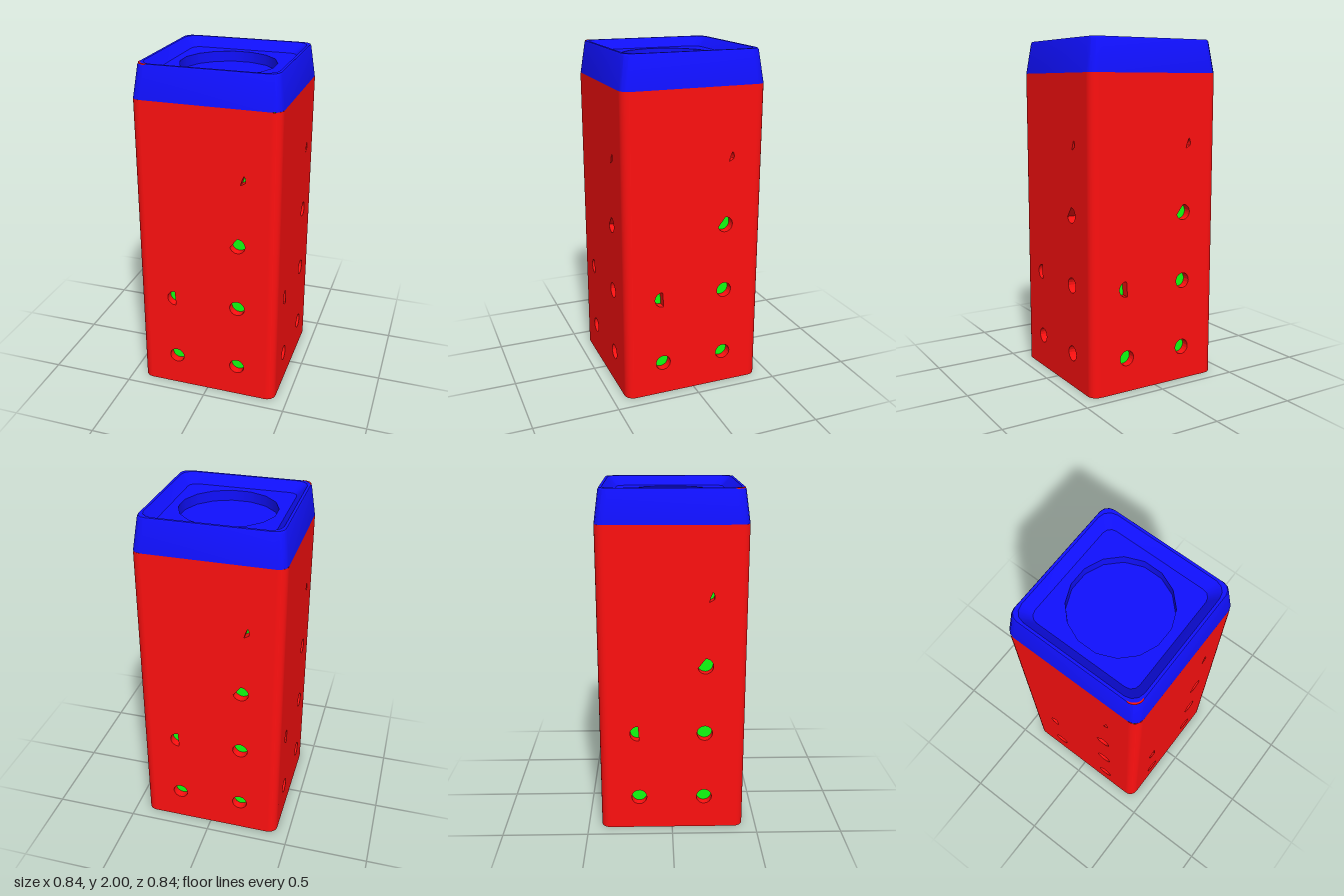
import * as THREE from 'three';
import { toCreasedNormals } from 'three/addons/utils/BufferGeometryUtils.js';

const HALF = 0.422, RADIUS = 0.055, BODY_H = 1.81, WALL = 0.048;
const paint = (color) => new THREE.MeshStandardMaterial({ color });
const red = paint(0xff1010), green = paint(0x10ff10), blue = paint(0x1010ff);
const blueInside = blue.clone();
blueInside.side = THREE.DoubleSide;

// Outline of a square with rounded corners, counter-clockwise
function roundedSquare(half, radius, steps = 3) {
  const points = [], c = half - radius;
  for (let k = 0; k < 4; k++) {
    const sx = k === 0 || k === 3 ? 1 : -1, sy = k < 2 ? 1 : -1;
    for (let i = 0; i <= steps; i++) {
      const a = (k + i / steps) * Math.PI / 2;
      points.push(new THREE.Vector2(sx * c + radius * Math.cos(a), sy * c + radius * Math.sin(a)));
    }
  }
  return points;
}

// Skin through rounded squares given as [half width, corner radius, height]
function loft(levels) {
  const position = [], index = [];
  const rings = levels.map(([half, radius]) => roundedSquare(half, radius));
  const n = rings[0].length;
  rings.forEach((ring, j) => ring.forEach((p) => position.push(p.x, levels[j][2], -p.y)));
  for (let j = 0; j < rings.length - 1; j++) {
    for (let i = 0; i < n; i++) {
      const a = j * n + i, b = j * n + (i + 1) % n;
      index.push(a, b, b + n, a, b + n, a + n);
    }
  }
  const geometry = new THREE.BufferGeometry();
  geometry.setAttribute('position', new THREE.Float32BufferAttribute(position, 3));
  geometry.setIndex(index);
  return toCreasedNormals(geometry, 0.6);
}

const flat = (shape, y) => new THREE.ShapeGeometry(shape).rotateX(-Math.PI / 2).translate(0, y, 0);

// Circle arc as a closed outline, optionally with an extra corner point
function arcHole(x, y, from, to, extra = []) {
  const points = [], r = 0.045;
  for (let i = 0; i <= 16; i++) {
    const a = THREE.MathUtils.degToRad(from + (to - from) * i / 16);
    points.push(new THREE.Vector2(x + r * Math.cos(a), y + r * Math.sin(a)));
  }
  return new THREE.Path([...points, ...extra]);
}

export function createModel() {
  const model = new THREE.Group();
  model.name = 'perforatedBox';
  const add = (name, geometry, material, parent = model) => {
    const mesh = new THREE.Mesh(geometry, material);
    mesh.name = name;
    parent.add(mesh);
    return mesh;
  };

  // One wall with its full and partly closed holes
  const flatHalf = HALF - RADIUS;
  const wall = new THREE.Shape([
    new THREE.Vector2(-flatHalf, 0), new THREE.Vector2(flatHalf, 0),
    new THREE.Vector2(flatHalf, BODY_H), new THREE.Vector2(-flatHalf, BODY_H),
  ]);
  wall.holes.push(
    arcHole(-0.195, 0.2, 0, 337.5),
    arcHole(0.188, 0.2, 0, 337.5),
    arcHole(0.188, 0.607, 0, 337.5),
    arcHole(-0.2, 0.607, 88, 280),
    arcHole(0.188, 1.015, -165, 90),
    arcHole(0.188, 1.415, -18, 38, [new THREE.Vector2(0.212, 1.415), new THREE.Vector2(0.203, 1.385)]),
  );
  const wallGeometry = new THREE.ExtrudeGeometry(wall, { depth: WALL, bevelEnabled: false })
    .translate(0, 0, HALF - WALL);
  const cornerGeometry = new THREE.CylinderGeometry(RADIUS, RADIUS, BODY_H, 6, 1, true, 0, Math.PI / 2)
    .translate(flatHalf, BODY_H / 2, flatHalf);

  // Four equal sides turned about the vertical axis
  const body = new THREE.Group();
  body.name = 'body';
  model.add(body);
  for (let k = 0; k < 4; k++) {
    add('wall', wallGeometry, red, body).rotation.y = k * Math.PI / 2;
    add('cornerEdge', cornerGeometry, red, body).rotation.y = k * Math.PI / 2;
  }
  const base = new THREE.ShapeGeometry(new THREE.Shape(roundedSquare(HALF, RADIUS)));
  add('base', base.rotateX(Math.PI / 2), red, body);

  // Inner core seen through the holes
  const coreWidth = 2 * (HALF - WALL) - 0.002;
  add('innerCore', new THREE.BoxGeometry(coreWidth, 1.78, coreWidth).translate(0, 0.9, 0), green);

  // Tapered lid with a raised rim and a sloped recess
  const lid = new THREE.Group();
  lid.name = 'lid';
  model.add(lid);
  const recessY = 1.945, wellY = 1.885;
  add('lidShell', loft([
    [HALF, RADIUS, BODY_H], [0.398, 0.055, 1.99], [0.393, 0.055, 2],
    [0.378, 0.07, 2], [0.325, 0.05, recessY],
  ]), blue, lid);

  // Recess floor around the sixteen-sided well
  const well = [];
  for (let i = 0; i < 16; i++) {
    const a = (i + 0.5) * Math.PI / 8;
    well.push(new THREE.Vector2(0.278 * Math.cos(a), 0.278 * Math.sin(a)));
  }
  const floor = new THREE.Shape(roundedSquare(0.325, 0.05));
  floor.holes.push(new THREE.Path(well));
  add('recessFloor', flat(floor, recessY), blue, lid);
  add('wellFloor', flat(new THREE.Shape(well), wellY), blue, lid);
  const wellWall = new THREE.CylinderGeometry(0.278, 0.278, recessY - wellY, 16, 1, true)
    .rotateY(Math.PI / 16).translate(0, (recessY + wellY) / 2, 0);
  add('wellWall', wellWall, blueInside, lid);

  // Small red sliver on one front corner of the rim
  const sliver = new THREE.Shape();
  sliver.absarc(-0.338, -0.338, 0.057, Math.PI, Math.PI * 1.5, false);
  sliver.absarc(-0.331, -0.331, 0.058, Math.PI * 1.5, Math.PI, true);
  const sliverGeometry = new THREE.ExtrudeGeometry(sliver, { depth: 0.008, bevelEnabled: false, curveSegments: 4 })
    .rotateX(-Math.PI / 2).translate(0, 1.993, 0);
  add('cornerMark', sliverGeometry, red);

  return model;
}
